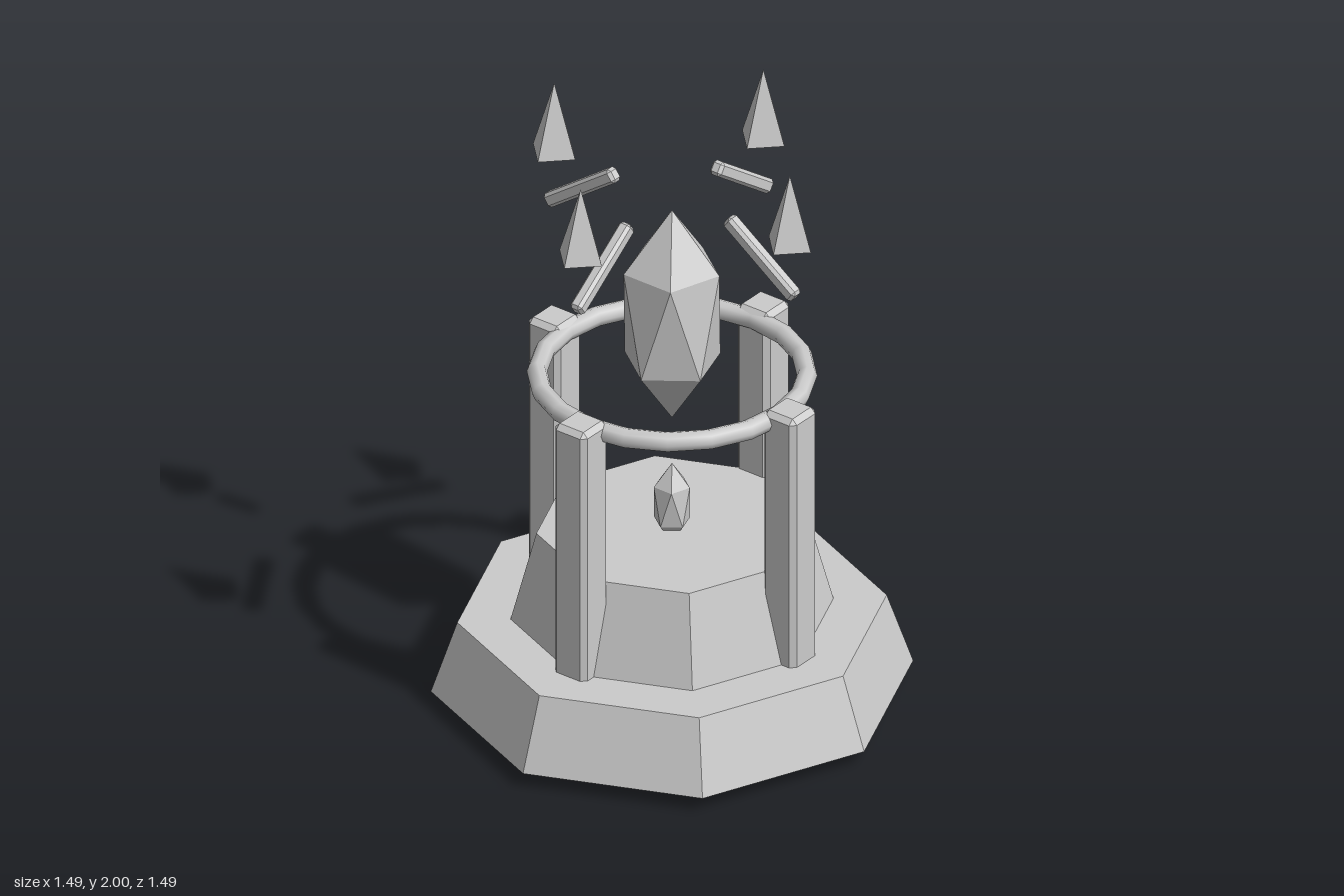
import * as THREE from 'three';
import { ConvexGeometry } from 'three/addons/geometries/ConvexGeometry.js';

const flat = new THREE.MeshStandardMaterial({ color: 0xcccccc, flatShading: true });
const smooth = new THREE.MeshStandardMaterial({ color: 0xcccccc });

function part(name, geometry, y = 0, material = flat) {
  const mesh = new THREE.Mesh(geometry, material);
  mesh.name = name;
  mesh.position.y = y;
  return mesh;
}

// Box with every edge cut off by c
function chamferBox(w, h, d, c) {
  const points = [];
  for (const sx of [-1, 1]) for (const sy of [-1, 1]) for (const sz of [-1, 1]) {
    for (let axis = 0; axis < 3; axis++) {
      const inset = [c, c, c];
      inset[axis] = 0;
      points.push(new THREE.Vector3(
        sx * (w / 2 - inset[0]), sy * (h / 2 - inset[1]), sz * (d / 2 - inset[2])));
    }
  }
  return new ConvexGeometry(points);
}

// Icosahedron stood on one point and stretched upwards
function crystal(radius, halfHeight) {
  return new THREE.IcosahedronGeometry(1, 0)
    .rotateZ(-Math.atan(2 / (1 + Math.sqrt(5))))
    .scale(radius, halfHeight, radius);
}

export function createModel() {
  const model = new THREE.Group();
  model.name = 'crystalShrine';

  // Two stepped octagonal plinths
  model.add(part('lowerPlinth', new THREE.CylinderGeometry(0.665, 0.747, 0.24, 8), 0.17));
  model.add(part('upperPlinth', new THREE.CylinderGeometry(0.42, 0.5, 0.3, 8), 0.44));

  // Ring carried between the pillars
  const ring = new THREE.TorusGeometry(0.415, 0.032, 8, 20).rotateX(Math.PI / 2);
  model.add(part('ring', ring, 1.13, smooth));

  // Floating crystals
  model.add(part('largeCrystal', crystal(0.173, 0.37), 1.342));
  model.add(part('smallCrystal', crystal(0.065, 0.14), 0.67));

  // Four sides, each with a pillar, a tilted bar and a spike
  const pillarGeometry = chamferBox(0.126, 1.17, 0.126, 0.017);
  const barGeometry = chamferBox(0.32, 0.048, 0.044, 0.01);
  const spikeGeometry = new THREE.ConeGeometry(0.082, 0.245, 4);
  for (let i = 0; i < 4; i++) {
    const side = new THREE.Group();
    side.name = 'side' + (i + 1);
    side.rotation.y = i * Math.PI / 2;

    const pillar = part('pillar', pillarGeometry, 0.585);
    pillar.position.x = 0.458;

    const bar = part('bar', barGeometry, 1.668);
    bar.position.x = 0.35;
    bar.rotation.z = -0.62;

    const spike = part('spike', spikeGeometry, 1.8775);
    spike.position.x = 0.458;

    side.add(pillar, bar, spike);
    model.add(side);
  }
  return model;
}
